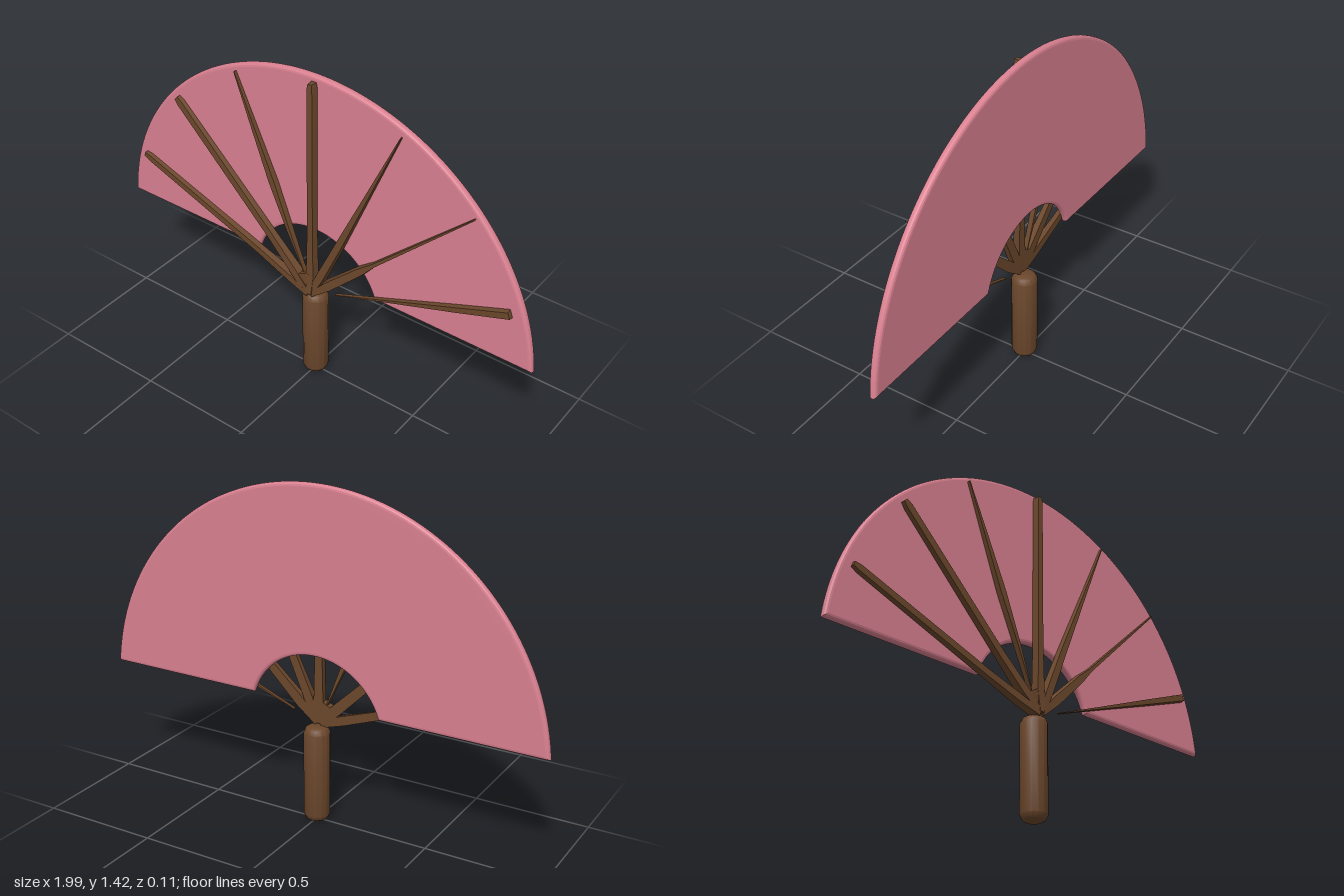
import * as THREE from 'three';
import { toCreasedNormals } from 'three/addons/utils/BufferGeometryUtils.js';

const PIVOT_Y = 0.42;

// Half-ring sheet with a softly rounded rim, cut off level just above the pivot
function fanSheet(material) {
  const outer = 1, inner = 0.305, cut = 0.095;
  const a = Math.asin(cut / outer), b = Math.asin(cut / inner);
  const shape = new THREE.Shape();
  shape.absarc(0, 0, outer, a, Math.PI - a, false);
  shape.absarc(0, 0, inner, Math.PI - b, b, true);
  shape.closePath();
  const geo = new THREE.ExtrudeGeometry(shape, {
    depth: 0.008, bevelThickness: 0.012, bevelSize: 0.014, bevelOffset: -0.014,
    bevelSegments: 3, curveSegments: 48,
  });
  geo.translate(0, PIVOT_Y, -0.014);
  const mesh = new THREE.Mesh(toCreasedNormals(geo, 0.2), material);
  mesh.name = 'fanSheet';
  return mesh;
}

// Rib from the pivot to a tip; stations are [distance fraction, width, front z]
function rib(tipX, tipY, stations, material) {
  const length = Math.hypot(tipX, tipY - PIVOT_Y);
  const n = stations.length - 1;
  const geo = new THREE.BoxGeometry(1, 1, 1, 1, n, 1);
  const pos = geo.attributes.position;
  for (let i = 0; i < pos.count; i++) {
    const [t, width, front] = stations[Math.round((pos.getY(i) + 0.5) * n)];
    const isFront = pos.getZ(i) > 0;
    pos.setXYZ(i, pos.getX(i) * width * (isFront ? 0.8 : 1), t * length, isFront ? front : 0.01);
  }
  geo.computeVertexNormals();
  const mesh = new THREE.Mesh(toCreasedNormals(geo, 0.5), material);
  mesh.position.y = PIVOT_Y;
  mesh.rotation.z = -Math.atan2(tipX, tipY - PIVOT_Y);
  mesh.name = 'rib';
  return mesh;
}

export function createModel() {
  const pink = new THREE.MeshStandardMaterial({ color: 0xd98090 });
  pink.name = 'pink cloth';
  const brown = new THREE.MeshStandardMaterial({ color: 0x6b472c });
  brown.name = 'brown wood';

  const fan = new THREE.Group();
  fan.name = 'handFan';
  fan.add(fanSheet(pink));

  // Ribs, each carved with its own taper
  const even = [[0.01, 0.03, 0.048], [0.12, 0.04, 0.042], [0.3, 0.036, 0.034], [0.97, 0.034, 0.027], [1, 0.022, 0.026]];
  const pointed = [[0.01, 0.025, 0.046], [0.12, 0.042, 0.042], [0.36, 0.036, 0.032], [0.7, 0.018, 0.027], [1, 0.004, 0.023]];
  const ribs = new THREE.Group();
  ribs.name = 'ribs';
  ribs.add(
    rib(0, 1.4, [[0.01, 0.03, 0.05], [0.1, 0.044, 0.042], [0.3, 0.034, 0.04], [0.98, 0.03, 0.04], [1, 0.022, 0.038]], brown),
    rib(-0.9, 0.745, even, brown),
    rib(-0.69, 1.095, even.map(([t, w, z]) => [t, w * 1.15, z]), brown),
    rib(-0.375, 1.32, [[0.1, 0.004, 0.03], [0.3, 0.02, 0.034], [0.52, 0.036, 0.032], [0.75, 0.022, 0.028], [1, 0.005, 0.023]], brown),
    rib(0.39, 1.31, pointed, brown),
    rib(0.71, 1.095, [[0.01, 0.025, 0.046], [0.12, 0.046, 0.042], [0.33, 0.038, 0.034], [0.42, 0.018, 0.028], [1, 0.005, 0.023]], brown),
    rib(0.89, 0.755, [[0.13, 0.003, 0.024], [0.4, 0.012, 0.026], [0.75, 0.028, 0.03], [1, 0.036, 0.03]], brown),
  );
  fan.add(ribs);

  // Hub where the ribs gather, flaring up from the top of the handle
  const hubShape = new THREE.Shape([
    [0, 0.425], [0.06, 0.455], [0.035, 0.49], [0.015, 0.525], [-0.015, 0.525], [-0.055, 0.505], [-0.07, 0.455],
  ].map(([x, y]) => new THREE.Vector2(x, y)));
  const hub = new THREE.Mesh(new THREE.ExtrudeGeometry(hubShape, { depth: 0.032, bevelEnabled: false }), brown);
  hub.position.z = 0.01;
  hub.name = 'hub';
  fan.add(hub);

  // Round handle with chamfered ends
  const profile = [[0, 0], [0.034, 0.002], [0.046, 0.009], [0.055, 0.028], [0.055, 0.394], [0.046, 0.412], [0.034, 0.419], [0, 0.42]]
    .map(([r, y]) => new THREE.Vector2(r, y));
  const handle = new THREE.Mesh(toCreasedNormals(new THREE.LatheGeometry(profile, 14), 0.6), brown);
  handle.name = 'handle';
  fan.add(handle);

  return fan;
}
